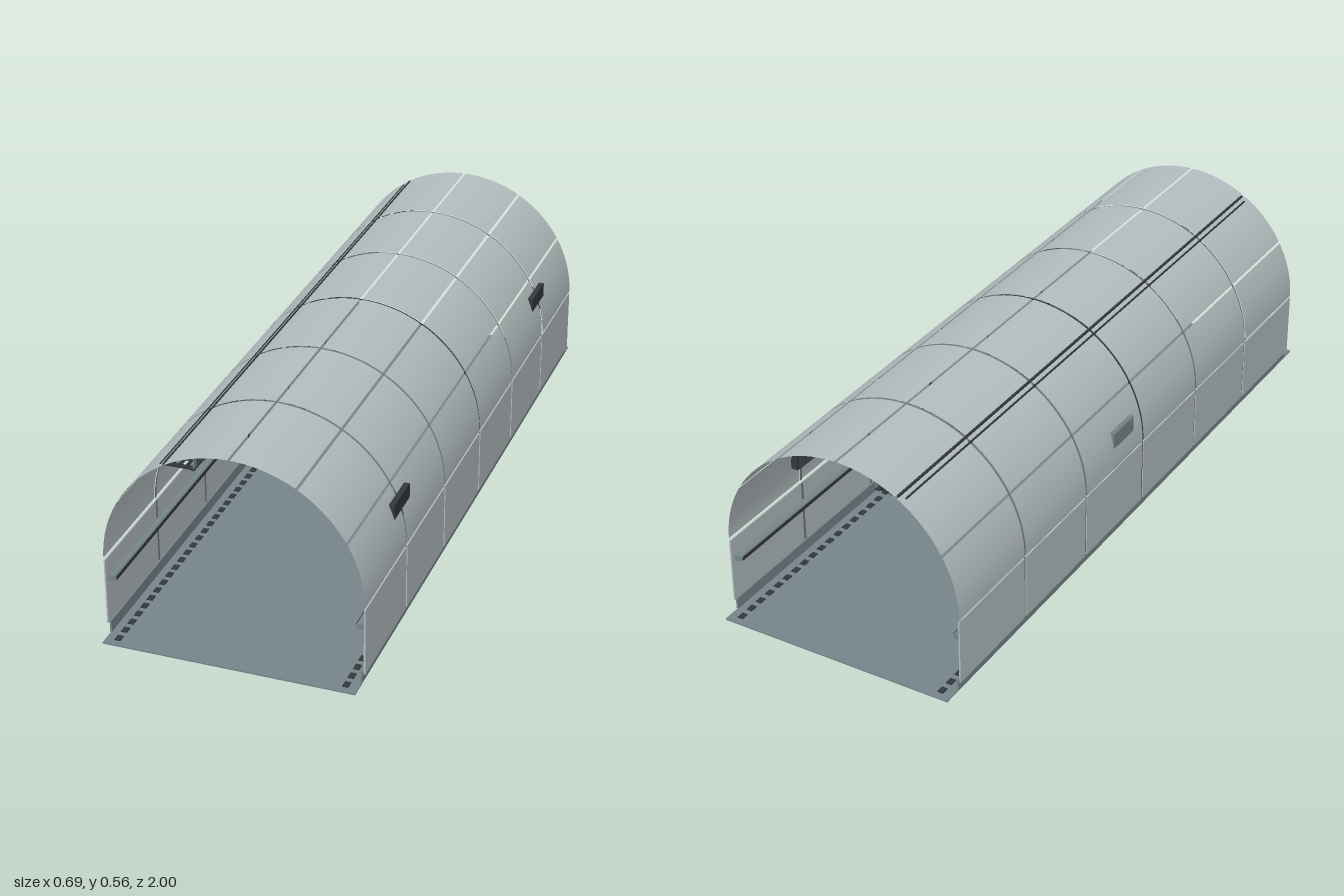
import * as THREE from 'three';

export function createModel() {
  const root = new THREE.Group();
  const mat = (name, color, side = THREE.FrontSide) => {
    const m = new THREE.MeshStandardMaterial({ color, side });
    m.name = name;
    return m;
  };
  const panelMat = mat('pale grey panel', 0xb2bcbe, THREE.DoubleSide);
  const steelMat = mat('blue grey steel', 0x75848a);
  const ribMat = mat('seam grey', 0x727a7d, THREE.DoubleSide);
  const darkMat = mat('dark grey', 0x33383b, THREE.DoubleSide);

  const R = 0.346, CY = 0.219, END = 0.95;
  const add = (name, geo, m, parent = root) => {
    const mesh = new THREE.Mesh(geo, m);
    mesh.name = name;
    parent.add(mesh);
    return mesh;
  };
  // box given by its limits
  const box = (name, x0, x1, y0, y1, z0, z1, m, parent = root) => {
    const mesh = add(name, new THREE.BoxGeometry(Math.abs(x1 - x0), y1 - y0, z1 - z0), m, parent);
    mesh.position.set((x0 + x1) / 2, (y0 + y1) / 2, (z0 + z1) / 2);
    return mesh;
  };
  const group = (name) => {
    const g = new THREE.Group();
    g.name = name;
    root.add(g);
    return g;
  };
  // arc of a tube along z, angle measured from +x towards +y
  const arc = (name, r, a0, a1, z0, z1, segs, m, parent) => {
    const geo = new THREE.CylinderGeometry(r, r, z1 - z0, segs, 1, true, Math.PI / 2 + a0, a1 - a0);
    geo.rotateX(Math.PI / 2);
    geo.translate(0, CY, (z0 + z1) / 2);
    return add(name, geo, m, parent);
  };
  // bevelled outline pulled along z
  const prism = (name, x0, x1, y0, y1, c, z0, z1, m, parent) => {
    const s = new THREE.Shape([[x0 + c, y0], [x1 - c, y0], [x1, y0 + c], [x1, y1 - c],
      [x1 - c, y1], [x0 + c, y1], [x0, y1 - c], [x0, y0 + c]].map(p => new THREE.Vector2(...p)));
    const geo = new THREE.ExtrudeGeometry(s, { depth: z1 - z0, bevelEnabled: false });
    geo.translate(0, 0, z0);
    return add(name, geo, m, parent);
  };

  // floor
  box('floor', -0.337, 0.337, 0, 0.004, -1, 1, steelMat);

  // vaulted roof and wall panels, separated by narrow joints
  const seams = [-END, -0.634, -0.317, 0, 0.317, 0.634, END];
  const roof = group('roofPanels'), walls = group('wallPanels'), ribs = group('jointRibs');
  const gap = 0.008, step = Math.PI / 6;
  for (let i = 0; i < 6; i++) {
    const z0 = seams[i] + (i ? gap / 2 : 0), z1 = seams[i + 1] - (i < 5 ? gap / 2 : 0);
    for (let k = 0; k < 6; k++) {
      arc('roofPanel', R, k * step + 0.01, (k + 1) * step - 0.01, z0, z1, 10, panelMat, roof);
    }
    for (const s of [-1, 1]) box('wallPanel', s * 0.342, s * 0.346, 0.03, 0.215, z0, z1, panelMat, walls);
  }
  // ribs behind the cross joints
  for (const z of seams.slice(1, 6)) {
    const m = z === 0 ? darkMat : ribMat;
    arc('roofRib', R - 0.002, 0.01, Math.PI - 0.01, z - 0.0045, z + 0.0045, 48, m, ribs);
    for (const s of [-1, 1]) box('wallRib', s * 0.3415, s * 0.3435, 0.03, 0.214, z - 0.0045, z + 0.0045, m, ribs);
  }

  // skirts, handrails and floor markers on both sides
  for (const s of [-1, 1]) {
    box('skirt', s * 0.334, s * 0.339, 0.005, 0.037, -END, END, steelMat);
    const rail = group('handrail');
    const [a, b] = s < 0 ? [-0.341, -0.320] : [0.318, 0.341];
    prism('railBar', a, b, 0.151, 0.167, 0.004, -0.94, 0.94, steelMat, rail);
    const inner = s < 0 ? b : a;
    box('railStrip', inner - 0.001, inner + 0.001, 0.154, 0.164, -0.935, 0.935, darkMat, rail);
    const markers = group('floorMarkers');
    for (let i = 0; i < 50; i++) {
      const z = -0.97 + i * 1.94 / 49;
      box('floorMarker', s * 0.297, s * 0.313, 0.0035, 0.0065, z - 0.011, z + 0.011, darkMat, markers);
    }
  }

  // finned units set into the left side of the roof
  for (const z of [-0.63, 0.63]) {
    const unit = group('finnedUnit');
    box('unitBody', 0.311, 0.331, 0.294, 0.36, z - 0.06, z + 0.06, darkMat, unit);
    for (let i = 0; i < 6; i++) {
      const y = 0.303 + i * 0.0095;
      box('unitFin', 0.303, 0.311, y - 0.002, y + 0.002, z - 0.055, z + 0.055, darkMat, unit);
    }
  }

  // cabinet on the right wall
  const cabinet = group('wallCabinet');
  prism('cabinetBody', -0.341, -0.306, 0.191, 0.326, 0.004, -0.16, -0.05, steelMat, cabinet);
  box('cabinetDoor', -0.307, -0.301, 0.197, 0.32, -0.154, -0.056, darkMat, cabinet);
  for (const y of [0.21, 0.305]) box('cabinetLatch', -0.301, -0.298, y - 0.003, y + 0.003, -0.07, -0.062, steelMat, cabinet);

  // ladder tray with four cables under the roof
  const tray = group('cableTray');
  for (const [x0, x1] of [[-0.19, -0.183], [-0.106, -0.099]]) {
    box('trayRail', x0, x1, 0.506, 0.511, -0.93, 0.93, darkMat, tray);
  }
  for (let i = 0; i < 48; i++) {
    const z = -0.92 + i * 1.84 / 47;
    box('trayRung', -0.187, -0.102, 0.5065, 0.5105, z - 0.007, z + 0.007, darkMat, tray);
  }
  for (const z of [-0.92, ...seams.slice(1, 6), 0.92]) {
    box('trayHanger', -0.102, -0.099, 0.506, 0.549, z - 0.008, z + 0.008, steelMat, tray);
  }
  for (const x of [-0.173, -0.154, -0.136, -0.117]) {
    const cable = add('cable', new THREE.CylinderGeometry(0.004, 0.004, 1.88, 10), darkMat, tray);
    cable.rotation.x = Math.PI / 2;
    cable.position.set(x, 0.518, 0);
  }
  return root;
}
